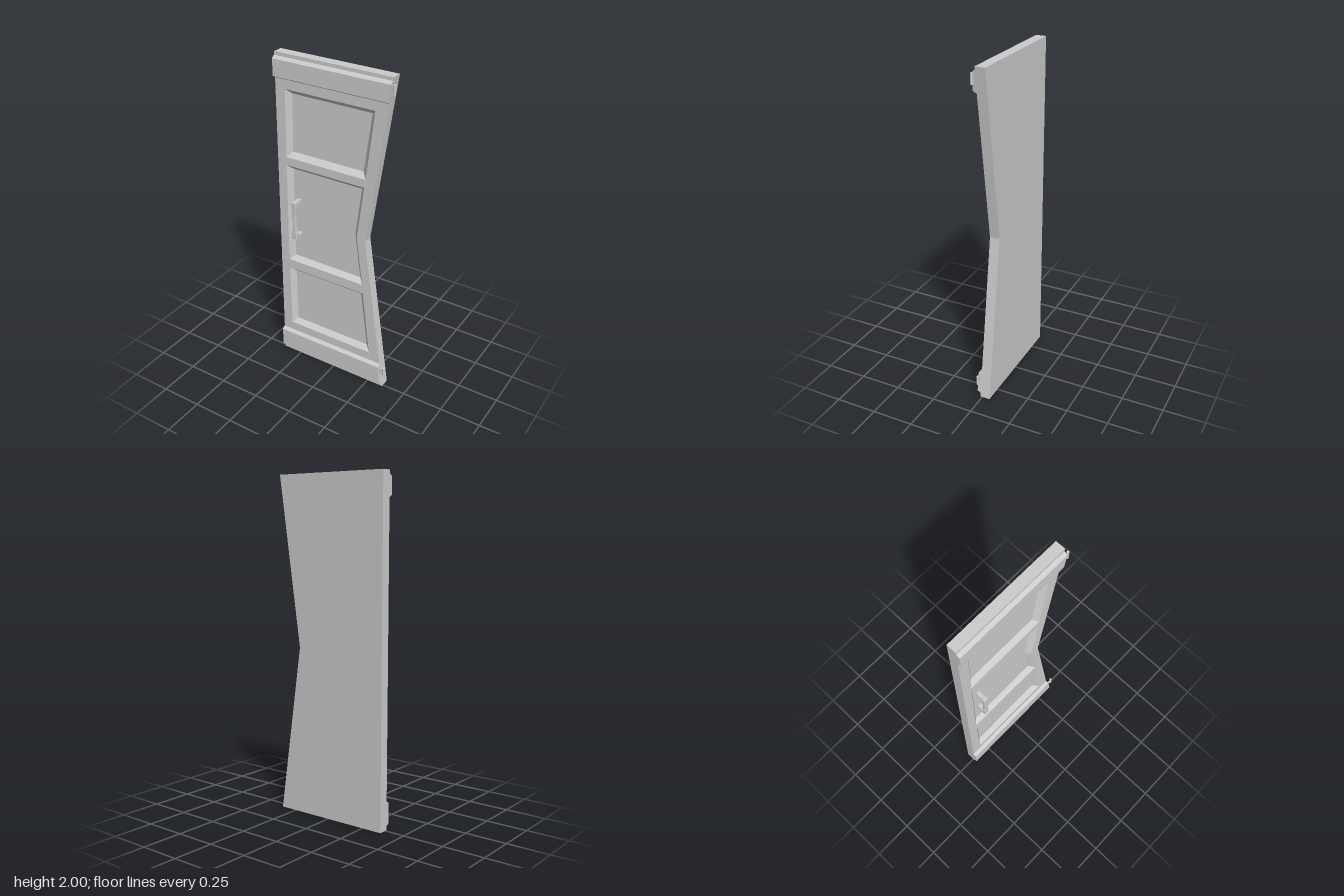
import * as THREE from 'three';

const LEFT = -0.375, FRONT = 0.012, FLOOR = -0.018, BACK = -0.048;
const rightEdge = (y) => 0.21 + 0.145 * Math.abs(y - 1);
const material = new THREE.MeshStandardMaterial({ color: 0xcccccc, flatShading: true });
const smooth = new THREE.MeshStandardMaterial({ color: 0xcccccc });

function add(parent, name, geometry, mat = material) {
  const mesh = new THREE.Mesh(geometry, mat);
  mesh.name = name;
  parent.add(mesh);
  return mesh;
}

const toPoints = (loop) => loop.map(([x, y]) => new THREE.Vector2(x, y));

// Flat polygon at depth z, with optional openings
function face(loop, z, holes = []) {
  const shape = new THREE.Shape(toPoints(loop));
  holes.forEach((h) => shape.holes.push(new THREE.Path(toPoints(h))));
  return new THREE.ShapeGeometry(shape).translate(0, 0, z);
}

// Strip of quads joining two matching counter-clockwise loops
function strip(a, za, b, zb) {
  const pos = [];
  a.forEach((p, i) => {
    const j = (i + 1) % a.length;
    const A = [...p, za], B = [...a[j], za], C = [...b[j], zb], D = [...b[i], zb];
    pos.push(...A, ...B, ...C, ...A, ...C, ...D);
  });
  const g = new THREE.BufferGeometry();
  g.setAttribute('position', new THREE.Float32BufferAttribute(pos, 3));
  g.computeVertexNormals();
  return g;
}

// Sunken panels: outer opening and inner floor loops
const panels = [
  { name: 'upperPanel',
    outer: [[-0.318, 1.39], [0.205, 1.39], [0.255, 1.8], [-0.312, 1.8]],
    inner: [[-0.29, 1.42], [0.175, 1.42], [0.222, 1.77], [-0.284, 1.77]] },
  { name: 'middlePanel',
    outer: [[-0.318, 0.7], [0.198, 0.7], [0.156, 1.01], [0.198, 1.34], [-0.318, 1.34]],
    inner: [[-0.29, 0.727], [0.167, 0.727], [0.129, 1.01], [0.167, 1.312], [-0.29, 1.312]] },
  { name: 'lowerPanel',
    outer: [[-0.312, 0.222], [0.255, 0.222], [0.203, 0.64], [-0.318, 0.64]],
    inner: [[-0.284, 0.25], [0.222, 0.25], [0.175, 0.612], [-0.29, 0.612]] },
];

function createDoor() {
  const door = new THREE.Group();
  door.name = 'door';
  const outline = [[LEFT, 0], [rightEdge(0), 0], [rightEdge(1), 1], [rightEdge(2), 2], [LEFT, 2]];
  add(door, 'frontFrame', face(outline, FRONT, panels.map((p) => p.outer)));
  add(door, 'doorEdges', strip(outline, BACK, outline, FRONT));
  const mirrored = outline.map(([x, y]) => [-x, y]);
  add(door, 'backFace', face(mirrored, -BACK).rotateY(Math.PI));
  for (const p of panels) {
    add(door, p.name + 'Bevel', strip(p.outer, FRONT, p.inner, FLOOR));
    add(door, p.name, face(p.inner, FLOOR));
  }
  return door;
}

// Raised rail across the door, cut to the slanted edge
function rail(bottom, top) {
  const profile = [[FRONT, bottom], [0.033, bottom + 0.013], [0.033, top - 0.014],
    [0.021, top - 0.003], [FRONT, top]];
  const g = new THREE.ExtrudeGeometry(new THREE.Shape(toPoints(profile)),
    { depth: 1, bevelEnabled: false }).rotateY(-Math.PI / 2);
  const pos = g.attributes.position;
  for (let i = 0; i < pos.count; i++) {
    pos.setX(i, pos.getX(i) > -0.5 ? rightEdge(pos.getY(i)) : LEFT);
  }
  g.computeVertexNormals();
  return g;
}

// Hinge: thin leaf and round barrel
function hinge(name, y) {
  const group = new THREE.Group();
  group.name = name;
  add(group, 'hingeLeaf', new THREE.BoxGeometry(0.034, 0.044, 0.005)).position.x = -0.018;
  add(group, 'hingeBarrel', new THREE.CylinderGeometry(0.0075, 0.0075, 0.058, 16), smooth);
  group.position.set(0.366, y, 0.022);
  return group;
}

// Pull handle: waisted grip on two posts
function createHandle() {
  const handle = new THREE.Group();
  handle.name = 'handle';
  const half = [[0.011, -0.118], [0.011, -0.092], [0.006, -0.03], [0.006, 0.03], [0.011, 0.092], [0.011, 0.118]];
  const loop = [...half, ...half.map(([x, y]) => [-x, -y])];
  const grip = new THREE.ExtrudeGeometry(new THREE.Shape(toPoints(loop)),
    { depth: 0.011, bevelThickness: 0.005, bevelSize: 0.005, bevelSegments: 2 });
  add(handle, 'grip', grip).position.z = 0.03;
  for (const s of [-1, 1]) {
    add(handle, 'handlePost', new THREE.BoxGeometry(0.026, 0.022, 0.052))
      .position.set(0, s * 0.111, 0.006);
  }
  handle.position.set(-0.253, 1.003, 0);
  return handle;
}

export function createModel() {
  const model = new THREE.Group();
  model.name = 'panelDoor';
  model.add(createDoor());
  add(model, 'topRail', rail(1.855, 1.98));
  add(model, 'bottomRail', rail(0.022, 0.167));
  model.add(hinge('topHinge', 1.94), hinge('bottomHinge', 0.122), createHandle());
  return model;
}
